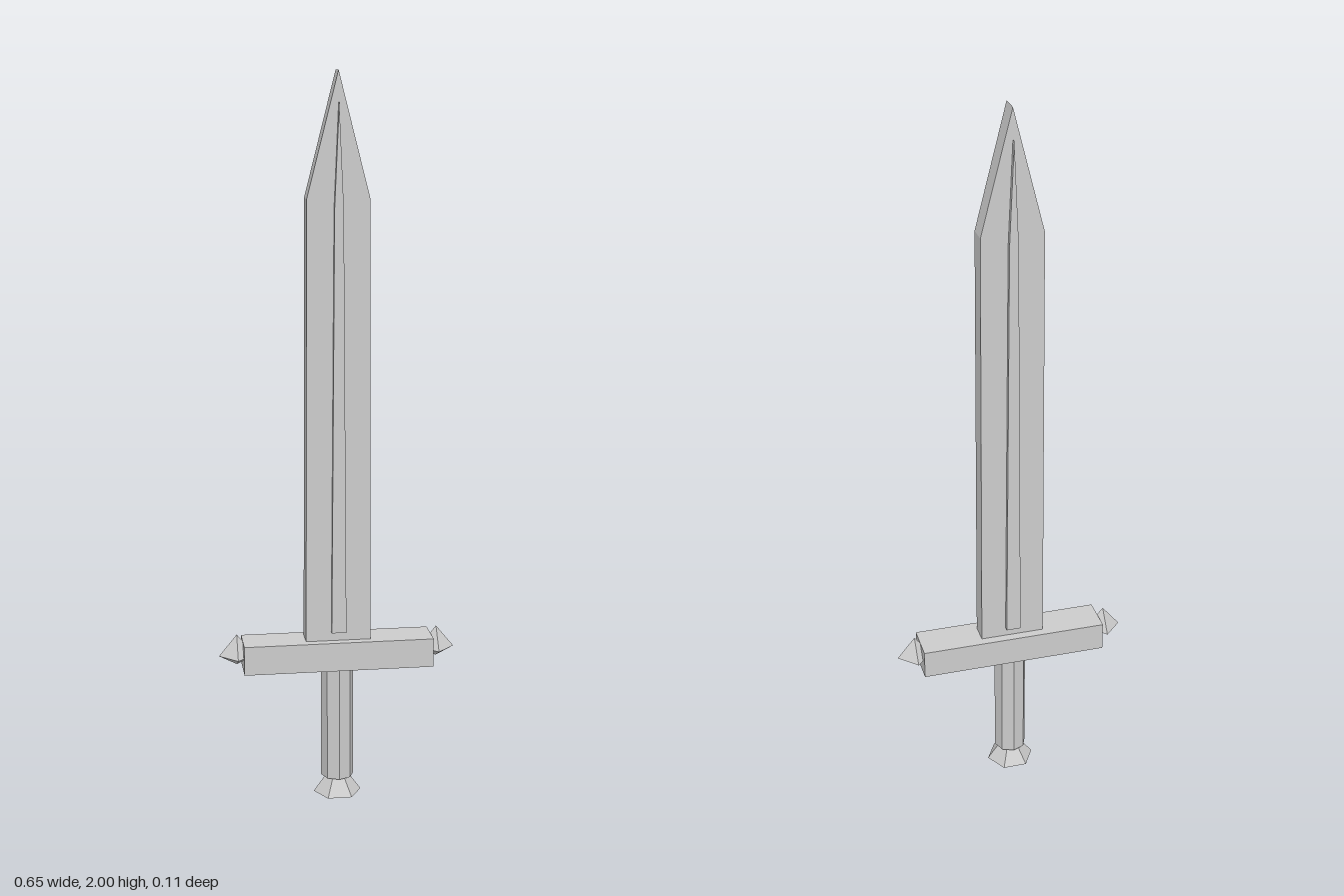
import * as THREE from 'three';

export function createModel() {
  const sword = new THREE.Group();
  sword.name = 'sword';
  const steel = new THREE.MeshStandardMaterial({ color: 0xcccccc });
  steel.name = 'steelGrey';

  function add(name, geometry, x = 0, y = 0, z = 0) {
    // split the faces so every facet is flat
    const flat = geometry.index ? geometry.toNonIndexed() : geometry;
    flat.computeVertexNormals();
    const mesh = new THREE.Mesh(flat, steel);
    mesh.name = name;
    mesh.position.set(x, y, z);
    sword.add(mesh);
    return mesh;
  }

  // symmetric pointed slab: base half width, shoulder half width, three heights, half thickness
  function pointedSlab(base, shoulder, yBase, yShoulder, yTip, halfDepth) {
    const shape = new THREE.Shape([
      new THREE.Vector2(-base, yBase),
      new THREE.Vector2(base, yBase),
      new THREE.Vector2(shoulder, yShoulder),
      new THREE.Vector2(0, yTip),
      new THREE.Vector2(-shoulder, yShoulder),
    ]);
    const g = new THREE.ExtrudeGeometry(shape, { depth: halfDepth * 2, bevelEnabled: false });
    return g.translate(0, 0, -halfDepth);
  }

  const lathe = (points, sides, phase = 0) => new THREE.LatheGeometry(
    points.map(([r, y]) => new THREE.Vector2(r, y)), sides, phase);

  // blade and its raised central ridge
  add('blade', pointedSlab(0.089, 0.083, 0.475, 1.675, 2, 0.028));
  add('bladeRidge', pointedSlab(0.02, 0.012, 0.505, 1.65, 1.92, 0.041));

  // crossguard with a squashed four-sided gem at each end
  add('crossguard', new THREE.BoxGeometry(0.52, 0.08, 0.106), 0, 0.44, 0);
  for (const side of [-1, 1]) {
    add(side > 0 ? 'leftGuardGem' : 'rightGuardGem',
      lathe([[0, -0.025], [0.049, 0], [0, 0.06]], 4), side * 0.276, 0.44, 0);
  }

  // octagonal grip
  add('grip', new THREE.CylinderGeometry(0.045, 0.045, 0.322, 8), 0, 0.24, 0);

  // six-sided pommel, corners on the x axis
  add('pommel', lathe([[0, 0.005], [0.066, 0.03], [0.03, 0.08]], 6, Math.PI / 2));

  return sword;
}
